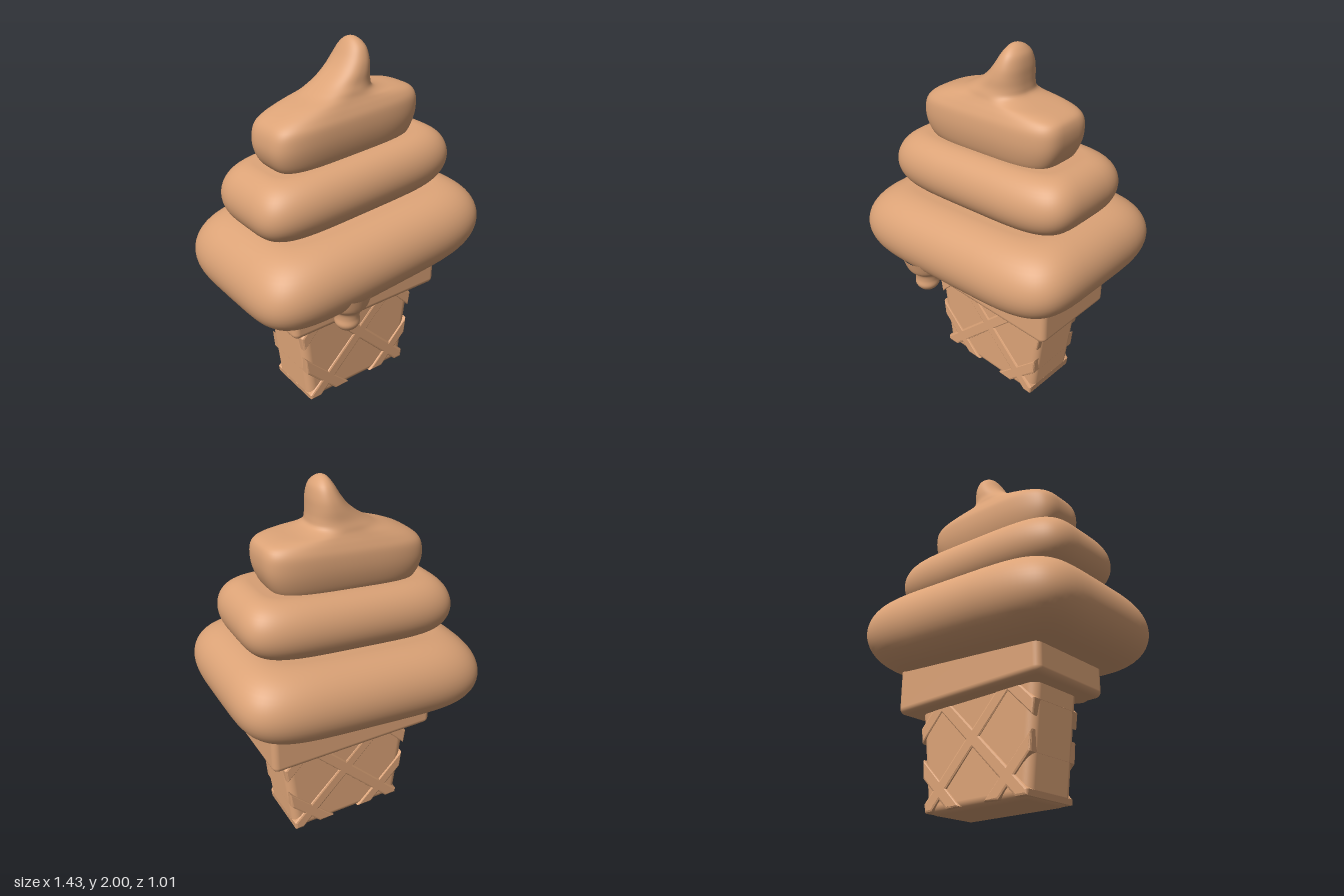
import * as THREE from 'three';
import { RoundedBoxGeometry } from 'three/addons/geometries/RoundedBoxGeometry.js';

const caramel = new THREE.MeshStandardMaterial({ color: 0xdca377 });
caramel.name = 'caramel';

// Stack of rounded-rectangle rings. Row: [y, left x, right x, half depth, slope in x, squareness]
function loft(rows, sides = 80) {
  const pos = [], idx = [];
  const closed = r => {
    const m = (r[1] + r[2]) / 2;
    return [r[0], m, m, 0, r[4], r[5]];
  };
  const all = [closed(rows[0]), ...rows, closed(rows[rows.length - 1])];
  const power = (v, n) => Math.sign(v) * Math.pow(Math.abs(v), 2 / n);
  all.forEach(([y, xl, xr, depth, slope, n], j) => {
    for (let i = 0; i < sides; i++) {
      const t = (i / sides) * Math.PI * 2;
      const x = (xl + xr) / 2 + ((xr - xl) / 2) * power(Math.cos(t), n);
      pos.push(x, y + slope * x, depth * power(Math.sin(t), n));
      if (j === all.length - 1) continue;
      const a = j * sides + i, b = j * sides + (i + 1) % sides;
      idx.push(a, a + sides, b, b, a + sides, b + sides);
    }
  });
  const g = new THREE.BufferGeometry();
  g.setAttribute('position', new THREE.Float32BufferAttribute(pos, 3));
  g.setIndex(idx);
  g.computeVertexNormals();
  return g;
}

// Catmull-Rom smoothing between control rows
function smoothRows(rows) {
  const out = [], steps = 4;
  for (let k = 0; k < rows.length - 1; k++) {
    const p0 = rows[Math.max(k - 1, 0)], p1 = rows[k], p2 = rows[k + 1];
    const p3 = rows[Math.min(k + 2, rows.length - 1)];
    for (let s = 0; s < steps; s++) {
      const t = s / steps;
      out.push(p1.map((v, i) => {
        const linear = p2[i] - p0[i];
        const square = 2 * p0[i] - 5 * v + 4 * p2[i] - p3[i];
        const cube = 3 * (v - p2[i]) + p3[i] - p0[i];
        return v + 0.5 * t * (linear + t * (square + t * cube));
      }));
    }
  }
  out.push(rows[rows.length - 1]);
  return out;
}

// Fat tilted tier with a round edge
function tier(y, halfX, halfZ, rx, ry, rz, slope, n) {
  const rows = [];
  for (let i = 0; i <= 24; i++) {
    const a = -Math.PI / 2 + (i / 24) * Math.PI;
    const hx = halfX - rx + rx * Math.cos(a);
    rows.push([y + ry * Math.sin(a), -hx, hx, halfZ - rz + rz * Math.cos(a), slope, n]);
  }
  return loft(rows);
}

// Keep the part of a polygon where f(x, y) >= 0
function clip(points, f) {
  const out = [];
  points.forEach((p, i) => {
    const q = points[(i + 1) % points.length], a = f(...p), b = f(...q);
    if (a >= 0) out.push(p);
    if (a * b < 0) {
      const t = a / (a - b);
      out.push([p[0] + (q[0] - p[0]) * t, p[1] + (q[1] - p[1]) * t]);
    }
  });
  return out;
}

const CX = 0.03, CZ = -0.01;
const cupHalf = y => 0.335 + 0.12 * y;

export function createModel() {
  const model = new THREE.Group();
  model.name = 'softServeCone';
  const add = (geometry, name, parent = model) => {
    const mesh = new THREE.Mesh(geometry, caramel);
    mesh.name = name;
    parent.add(mesh);
    return mesh;
  };

  // Tapered wafer cup
  const cup = new RoundedBoxGeometry(2 * cupHalf(0), 0.62, 0.325, 5, 0.045);
  cup.translate(0, 0.31, 0);
  const p = cup.attributes.position;
  for (let i = 0; i < p.count; i++) {
    const y = p.getY(i);
    p.setX(i, p.getX(i) * cupHalf(y) / cupHalf(0));
    p.setZ(i, p.getZ(i) * (1 + 0.08 * y));
  }
  cup.translate(CX, 0, CZ);
  add(cup, 'waferCup');

  // Diagonal waffle ridges, running through the cup so they also step its sides
  const ridges = new THREE.Group();
  ridges.name = 'waffleRidges';
  model.add(ridges);
  const bevel = 0.012, w = 0.04;
  const ridge = (dir, c) => {
    // Band around the line y = c + dir * x, trimmed to the cup outline
    let poly = [[-1, c - dir - w], [1, c + dir - w], [1, c + dir + w], [-1, c - dir + w]];
    poly = clip(poly, (x, y) => y - 0.02);
    poly = clip(poly, (x, y) => 0.58 - y);
    poly = clip(poly, (x, y) => cupHalf(y) - 0.008 - (x - CX));
    poly = clip(poly, (x, y) => cupHalf(y) - 0.008 + (x - CX));
    const shape = new THREE.Shape(poly.map(q => new THREE.Vector2(...q)));
    const g = new THREE.ExtrudeGeometry(shape, {
      depth: 0.324, bevelEnabled: true, bevelThickness: bevel, bevelSize: bevel,
      bevelOffset: -0.004, bevelSegments: 2,
    });
    g.translate(0, 0, CZ - 0.162);
    add(g, 'waffleRidge', ridges);
  };
  [-0.07, 0.38, 0.83].forEach(c => ridge(-1, c));
  [-0.15, 0.3, 0.77].forEach(c => ridge(1, c));

  // Wide rim block
  const rim = add(new RoundedBoxGeometry(0.98, 0.4, 0.52, 4, 0.035), 'rim');
  rim.position.set(CX, 0.74, CZ);

  // Two fat swirl tiers
  add(tier(0.945, 0.715, 0.505, 0.22, 0.212, 0.21, 0.09, 5), 'lowerSwirl');
  add(tier(1.297, 0.603, 0.32, 0.15, 0.16, 0.14, 0.08, 4.5), 'middleSwirl');

  // Top swirl with a low lobe on one side and a curled peak
  add(loft(smoothRows([
    [1.42, -0.38, 0.37, 0.15, 0.07, 4],
    [1.47, -0.425, 0.405, 0.175, 0.07, 4],
    [1.53, -0.45, 0.43, 0.19, 0.07, 4],
    [1.59, -0.455, 0.44, 0.195, 0.07, 4],
    [1.65, -0.44, 0.435, 0.19, 0.07, 4],
    [1.69, -0.4, 0.41, 0.175, 0.07, 3.6],
    [1.72, -0.31, 0.34, 0.16, 0.05, 3.2],
    [1.742, -0.21, 0.23, 0.15, 0.02, 2.8],
    [1.765, -0.155, 0.172, 0.143, 0, 2.5],
    [1.8, -0.1, 0.16, 0.132, 0, 2.4],
    [1.85, -0.04, 0.157, 0.125, 0, 2.3],
    [1.9, 0, 0.155, 0.113, 0, 2.2],
    [1.95, 0.03, 0.145, 0.09, 0, 2.1],
    [1.98, 0.05, 0.125, 0.06, 0, 2],
    [1.995, 0.066, 0.105, 0.03, 0, 2],
    [2, 0.082, 0.09, 0.005, 0, 2],
  ])), 'topSwirl');

  // Drip hanging over the rim at the front
  const dripProfile = new THREE.SplineCurve([
    [0.001, 0.605], [0.04, 0.615], [0.066, 0.65], [0.064, 0.69],
    [0.072, 0.73], [0.105, 0.765], [0.13, 0.84],
  ].map(q => new THREE.Vector2(...q))).getPoints(28);
  const drip = add(new THREE.LatheGeometry(dripProfile, 32), 'drip');
  drip.position.set(-0.22, 0, 0.375);
  const bridge = add(new THREE.CapsuleGeometry(0.04, 0.14, 8, 20), 'dripBridge');
  bridge.rotation.x = Math.PI / 2;
  bridge.position.set(-0.22, 0.675, 0.29);

  return model;
}
